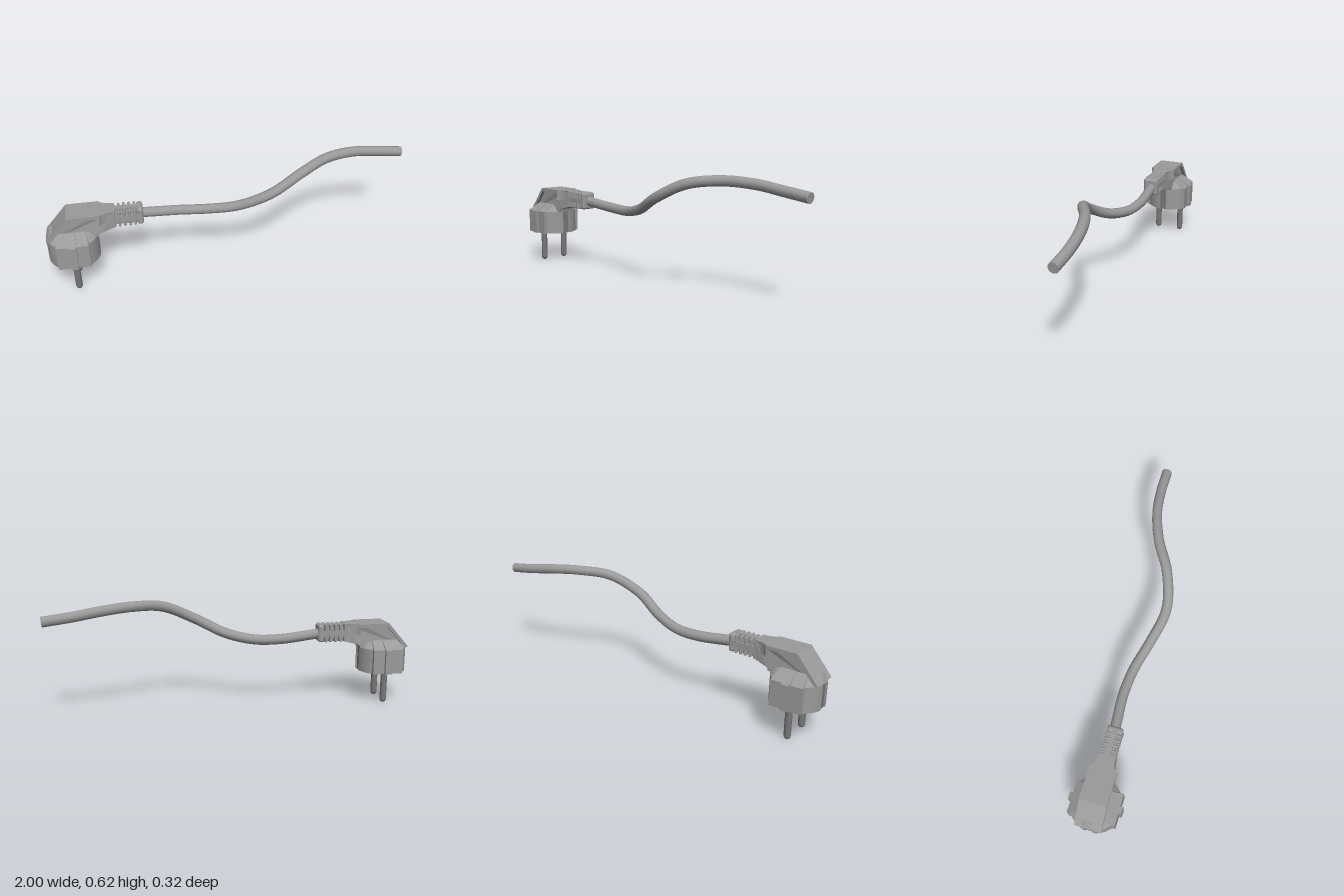
import * as THREE from 'three';
import { toCreasedNormals } from 'three/addons/utils/BufferGeometryUtils.js';
import { RoundedBoxGeometry } from 'three/addons/geometries/RoundedBoxGeometry.js';

const CX = -0.862, CZ = 0.014;   // plug axis
const plastic = new THREE.MeshStandardMaterial({ color: 0x9a9a9a });
plastic.name = 'grey plastic';
const metal = new THREE.MeshStandardMaterial({ color: 0x777777 });
metal.name = 'dark metal';

function add(parent, name, geometry, material, x = 0, y = 0, z = 0) {
  const mesh = new THREE.Mesh(geometry, material);
  mesh.name = name;
  mesh.position.set(x, y, z);
  parent.add(mesh);
  return mesh;
}

// Round outline with flat sides, a key on each flat and optional end grooves
function outline(grooved) {
  const r = 0.138, q = [];
  if (grooved) q.push([0.126, 0.02]);
  const a0 = grooved ? Math.asin(0.02 / r) : 0.02, a1 = Math.acos(0.085 / r);
  for (let i = 0; i <= 8; i++) {
    const a = a0 + (a1 - a0) * i / 8;
    q.push([r * Math.cos(a), r * Math.sin(a)]);
  }
  q.push([0.085, 0.127], [0.02, 0.127], [0.02, 0.142]);
  const half = [...q, ...q.map(([x, y]) => [-x, y]).reverse()];
  const all = [...half, ...half.map(([x, y]) => [-x, -y])];
  return new THREE.Shape(all.map(([x, y]) => new THREE.Vector2(x, y)));
}

function prism(shape, depth) {
  return new THREE.ExtrudeGeometry(shape, { depth, bevelEnabled: false });
}

// Side profile in x and y, extruded symmetrically across z
function sideProfile(points, halfWidth) {
  const shape = new THREE.Shape(points.map(([x, y]) => new THREE.Vector2(x, y)));
  return prism(shape, halfWidth * 2).translate(0, 0, -halfWidth);
}

export function createModel() {
  const model = new THREE.Group();
  model.name = 'plugWithCable';

  // Plug body with sloping shoulder
  const body = prism(outline(true), 0.137).rotateX(-Math.PI / 2);
  add(model, 'plugBody', toCreasedNormals(body, 0.5), plastic, CX, 0.18, CZ);

  const shoulder = prism(outline(false), 0.043).rotateX(-Math.PI / 2);
  const sp = shoulder.attributes.position;
  for (let i = 0; i < sp.count; i++) {
    if (sp.getY(i) > 0.02) {
      sp.setX(i, sp.getX(i) * 0.85);
      sp.setZ(i, sp.getZ(i) * 0.45);
    }
  }
  add(model, 'shoulder', toCreasedNormals(shoulder, 0.4), plastic, CX, 0.317, CZ);

  // Earth contacts in the end grooves
  for (const s of [-1, 1]) {
    add(model, 'earthContact', new THREE.BoxGeometry(0.008, 0.135, 0.039), metal,
      CX + s * 0.126, 0.2465, CZ);
  }

  // Pins with rounded tips
  const pinPoints = [];
  for (let i = 0; i <= 5; i++) {
    const a = i / 5 * Math.PI / 2;
    pinPoints.push(new THREE.Vector2(0.018 * Math.sin(a), 0.018 * (1 - Math.cos(a))));
  }
  pinPoints.push(new THREE.Vector2(0.018, 0.19));
  for (const s of [-1, 1]) {
    add(model, 'pin', new THREE.LatheGeometry(pinPoints, 16), metal, CX, 0, CZ + s * 0.074);
  }

  // Handle core, narrowing towards the strain relief
  const core = sideProfile([[-0.985, 0.318], [-0.72, 0.318], [-0.715, 0.335], [-0.63, 0.358],
    [-0.63, 0.454], [-0.715, 0.455], [-0.88, 0.455]], 0.054);
  const cp = core.attributes.position;
  for (let i = 0; i < cp.count; i++) if (cp.getX(i) > -0.65) cp.setZ(i, cp.getZ(i) * 0.8);
  core.computeVertexNormals();
  add(model, 'handleCore', core, plastic, 0, 0, CZ);

  // Overhanging grip lip along the top and slope
  const lip = sideProfile([[-0.997, 0.32], [-0.975, 0.318], [-0.872, 0.438], [-0.71, 0.438],
    [-0.71, 0.457], [-0.88, 0.457]], 0.072);
  add(model, 'gripLip', lip, plastic, 0, 0, CZ);

  // Taper from lip to neck
  const taperShape = new THREE.Shape();
  taperShape.moveTo(-0.711, -0.072);
  taperShape.quadraticCurveTo(-0.69, -0.044, -0.63, -0.043);
  taperShape.lineTo(-0.63, 0.043);
  taperShape.quadraticCurveTo(-0.69, 0.044, -0.711, 0.072);
  const taper = prism(taperShape, 0.06).rotateX(-Math.PI / 2);
  add(model, 'neckTaper', toCreasedNormals(taper, 0.5), plastic, 0, 0.396, CZ);

  // Ribbed strain relief
  const relief = new THREE.Group();
  relief.name = 'strainRelief';
  relief.position.set(0, 0.405, 0.012);
  model.add(relief);
  add(relief, 'reliefCore', new THREE.BoxGeometry(0.14, 0.064, 0.056), plastic, -0.565);
  add(relief, 'verticalSpine', new THREE.BoxGeometry(0.14, 0.1, 0.03), plastic, -0.565);
  add(relief, 'sideSpine', new THREE.BoxGeometry(0.14, 0.028, 0.086), plastic, -0.565);
  for (let i = 0; i < 5; i++) {
    add(relief, 'rib', new RoundedBoxGeometry(0.014, 0.1, 0.086, 2, 0.006), plastic,
      -0.634 + i * 0.0275);
  }
  add(relief, 'endCollar', new RoundedBoxGeometry(0.034, 0.1, 0.086, 3, 0.014), plastic, -0.497);

  // Winding cable
  const path = new THREE.CatmullRomCurve3([
    [-0.52, 0.405, 0.01], [-0.42, 0.394, 0], [-0.28, 0.381, -0.009], [-0.13, 0.379, 0.005],
    [0.03, 0.411, 0.049], [0.2, 0.492, 0.088], [0.375, 0.573, 0.04], [0.535, 0.594, -0.05],
    [0.7, 0.585, -0.107], [0.855, 0.562, -0.128], [1, 0.543, -0.132],
  ].map((p) => new THREE.Vector3(...p)));
  const radius = 0.028;
  add(model, 'cable', new THREE.TubeGeometry(path, 48, radius, 10), plastic);
  const end = path.getPointAt(1);
  const cap = add(model, 'cableEnd', new THREE.CircleGeometry(radius, 10), plastic,
    end.x, end.y, end.z);
  cap.quaternion.setFromUnitVectors(new THREE.Vector3(0, 0, 1), path.getTangentAt(1));

  return model;
}
